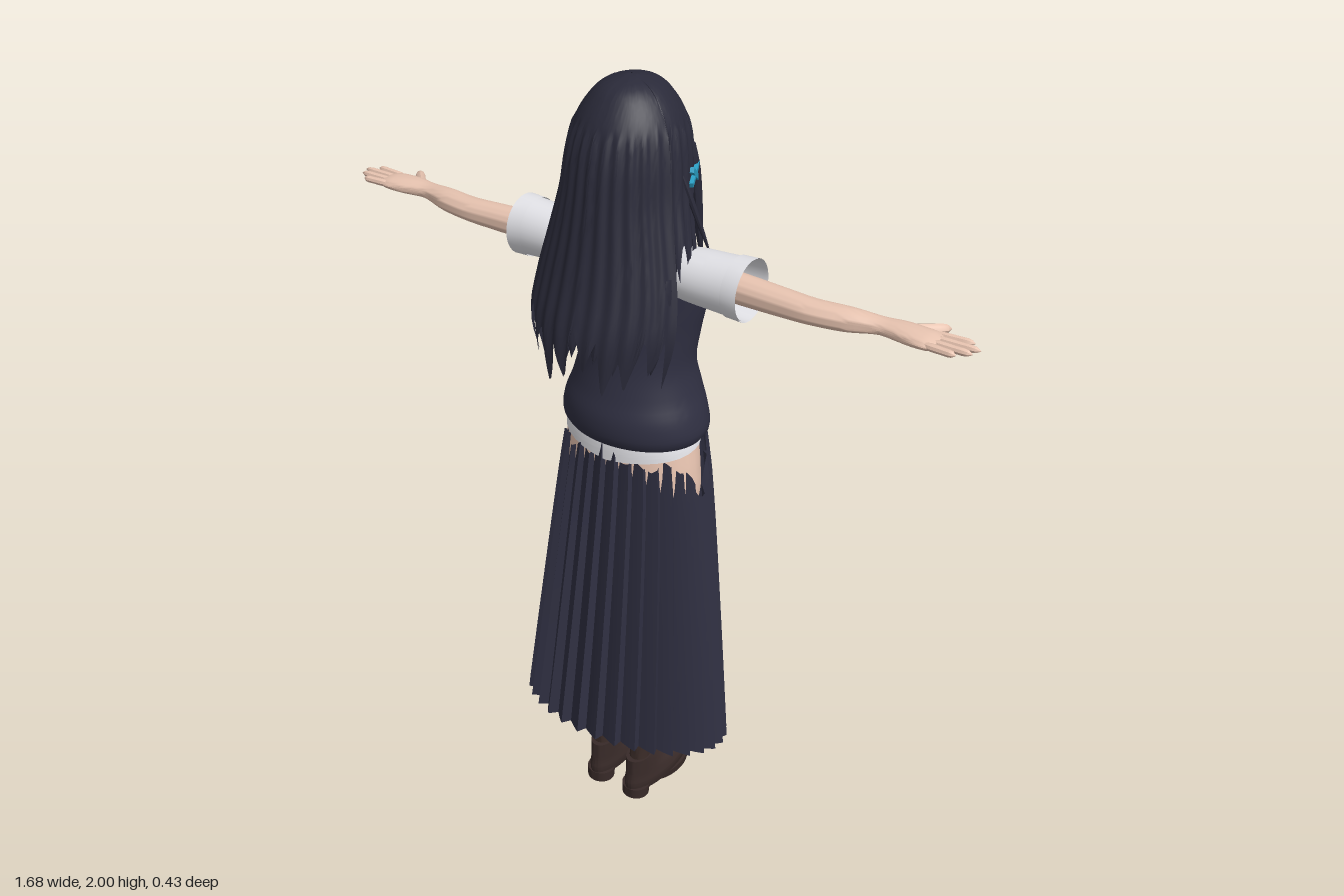
import * as THREE from 'three';
import { toCreasedNormals } from 'three/addons/utils/BufferGeometryUtils.js';

const mat = (name, color) => new THREE.MeshStandardMaterial({ name, color, side: THREE.DoubleSide });

// Smooth profile: rows are [y, halfWidth, frontZ, backZ], ascending in y
function profile(rows, y) {
  const last = rows.length - 1;
  let i = 0;
  while (i < last - 1 && y > rows[i + 1][0]) i++;
  const a = rows[i], b = rows[i + 1], h = b[0] - a[0];
  const t = THREE.MathUtils.clamp((y - a[0]) / h, 0, 1);
  const p = rows[Math.max(i - 1, 0)], n = rows[Math.min(i + 2, last)];
  return [1, 2, 3].map(k => {
    const m0 = (b[k] - p[k]) / (b[0] - p[0]) * h, m1 = (n[k] - a[k]) / (n[0] - a[0]) * h;
    const t2 = t * t, t3 = t2 * t;
    return (2 * t3 - 3 * t2 + 1) * a[k] + (t3 - 2 * t2 + t) * m0 + (3 * t2 - 2 * t3) * b[k] + (t3 - t2) * m1;
  });
}

// Wrapped surface; angle 0 is the back, +-PI the front. Edges may vary with angle.
function wrap(rows, { top, bottom, cols = 32, n = 24, off = 0, pow = 1, ripple, caps = false, crease = 0.8 } = {}) {
  const pos = [], idx = [], first = caps ? -1 : 0, end = caps ? n + 1 : n;
  for (let i = first; i <= end; i++) {
    const t = THREE.MathUtils.clamp(i / n, 0, 1), k = i < 0 || i > n ? 0 : 1;
    for (let j = 0; j <= cols; j++) {
      const phi = -Math.PI + 2 * Math.PI * j / cols;
      const y0 = top ? top(phi) : rows[rows.length - 1][0], y1 = bottom ? bottom(phi) : rows[0][0];
      const y = y0 + (y1 - y0) * t ** pow;
      const [rx, zf, zb] = profile(rows, y), d = (off + (ripple ? ripple(j, y) : 0));
      pos.push(k * (rx + d) * Math.sin(phi), y, (zf + zb) / 2 + k * ((zb - zf) / 2 + d) * Math.cos(phi));
    }
  }
  const w = cols + 1;
  for (let i = 0; i < end - first; i++) for (let j = 0; j < cols; j++) {
    const a = i * w + j, b = a + w;
    idx.push(a, b, a + 1, b, b + 1, a + 1);
  }
  const g = new THREE.BufferGeometry();
  g.setAttribute('position', new THREE.Float32BufferAttribute(pos, 3));
  g.setIndex(idx);
  g.computeVertexNormals();
  return toCreasedNormals(g, crease);
}

// Tapered round piece from p to q; shape gives the relative radius along it
function taper(p, q, r, shape = [0.8, 1, 0.95, 0.85, 0.1]) {
  const a = new THREE.Vector3(...p), d = new THREE.Vector3(...q).sub(a), L = d.length();
  const rows = shape.map((s, i) => [L * [0, 0.2, 0.6, 0.88, 1][i], s * r, -s * r, s * r]);
  const g = wrap(rows, { cols: 8, n: 10, caps: true });
  g.applyQuaternion(new THREE.Quaternion().setFromUnitVectors(new THREE.Vector3(0, 1, 0), d.normalize()));
  return g.translate(a.x, a.y, a.z);
}

const tri = u => Math.abs(2 * (u - Math.floor(u)) - 1);

export function createModel() {
  const M = {
    hair: mat('hair', 0x2a2a39), cloth: mat('navy cloth', 0x2f2f41), skin: mat('skin', 0xf0cbb7),
    white: mat('white cloth', 0xeeeef3), blue: mat('ribbon blue', 0x2a9fc4), stocking: mat('stocking', 0x3b2c28),
    shoe: mat('shoe leather', 0x382a28), iris: mat('iris', 0x34447c), lip: mat('lip', 0xc9827a),
  };
  const model = new THREE.Group();
  const add = (name, g, m, parent = model) => {
    const mesh = new THREE.Mesh(g, m);
    mesh.name = name;
    parent.add(mesh);
    return mesh;
  };

  // Head and neck
  const headRows = [[1.662, 0.015, -0.117, -0.06], [1.69, 0.055, -0.13, 0.01], [1.73, 0.086, -0.138, 0.06],
    [1.78, 0.1, -0.143, 0.09], [1.84, 0.105, -0.136, 0.1], [1.9, 0.09, -0.1, 0.08], [1.95, 0.05, -0.06, 0.04]];
  add('head', wrap(headRows, { caps: true }), M.skin);
  add('nose', taper([0, 1.775, -0.135], [0, 1.752, -0.154], 0.009), M.skin);
  add('neck', wrap([[1.58, 0.05, -0.08, 0.03], [1.64, 0.036, -0.065, 0.015], [1.72, 0.038, -0.065, 0.02]]), M.skin);

  // Painted face details laid on the head surface
  const facePatch = (name, cx, cy, rx, ry, lift, m) => {
    const g = new THREE.CircleGeometry(1, 20).scale(rx, ry, 1).translate(cx, cy, 0), p = g.attributes.position;
    for (let i = 0; i < p.count; i++) {
      const [w, zf, zb] = profile(headRows, p.getY(i)), u = Math.min(1, Math.abs(p.getX(i)) / w);
      p.setZ(i, (zf + zb) / 2 - (zb - zf) / 2 * Math.sqrt(1 - u * u) - lift);
    }
    g.computeVertexNormals();
    add(name, g, m);
  };
  for (const s of [-1, 1]) {
    facePatch('eyeWhite', s * 0.046, 1.772, 0.025, 0.018, 0.002, M.white);
    facePatch('iris', s * 0.045, 1.773, 0.015, 0.018, 0.004, M.iris);
    facePatch('pupil', s * 0.045, 1.775, 0.007, 0.01, 0.005, M.hair);
    facePatch('eyelash', s * 0.047, 1.791, 0.028, 0.005, 0.006, M.hair);
  }
  facePatch('mouth', 0, 1.704, 0.012, 0.003, 0.002, M.lip);

  // Long hair with fringe and ragged ends
  const hairRows = [[1.32, 0.165, -0.1, 0.21], [1.45, 0.2, -0.11, 0.205], [1.55, 0.193, -0.12, 0.178],
    [1.65, 0.17, -0.13, 0.156], [1.75, 0.147, -0.148, 0.14], [1.84, 0.136, -0.158, 0.126], [1.9, 0.122, -0.15, 0.107],
    [1.95, 0.094, -0.125, 0.076], [1.985, 0.055, -0.088, 0.038], [2, 0.002, -0.026, -0.022]];
  const hairEnd = phi => {
    const p = Math.abs(phi);
    if (p < 1.3) return 1.35 + 0.03 * Math.sin(7 * phi + 1) + 0.11 * tri(phi * 3.5);
    if (p < 2.05) return 1.58 + 0.09 * tri(phi * 4);
    if (p < 2.25) return 1.72 + 0.04 * tri(phi * 5);
    return 1.812 + 0.03 * tri(phi * 3.2);
  };
  add('hair', wrap(hairRows, { bottom: hairEnd, cols: 200, n: 28, pow: 1.8,
    ripple: (j, y) => y < 1.9 ? 0.003 * Math.sin(j * 0.9) : 0 }), M.hair);
  const lockShape = [0.5, 1, 0.8, 0.35, 0.02];
  for (const s of [-1, 1]) {
    add('sideLock', taper([s * 0.118, 1.85, -0.085], [s * 0.125, 1.55, -0.125], 0.014, lockShape), M.hair);
    add('looseStrand', taper([s * 0.135, 1.8, -0.02], [s * 0.185, 1.6, -0.07], 0.007, lockShape), M.hair);
    for (let i = 0; i < 4; i++)
      add('backLock', taper([s * (0.04 + i * 0.04), 1.6, 0.12 - i * 0.015],
        [s * (0.03 + i * 0.035), 1.39 - (i % 2) * 0.03, 0.17 - i * 0.025], 0.024, lockShape), M.hair);
  }

  // Crossed hair ribbon on the left side
  const hairRibbon = new THREE.Group();
  hairRibbon.name = 'hairRibbon';
  hairRibbon.position.set(0.138, 1.79, -0.065);
  hairRibbon.rotation.y = 0.38;
  for (const a of [0.35, -0.6])
    add('ribbonBand', new THREE.BoxGeometry(0.009, 0.012, 0.075).rotateX(a), M.blue, hairRibbon);
  model.add(hairRibbon);

  // Knitted vest with a V neck over a white shirt
  const vestRows = [[1.13, 0.178, -0.178, 0.09], [1.15, 0.19, -0.191, 0.1], [1.2, 0.181, -0.19, 0.1],
    [1.25, 0.163, -0.184, 0.085], [1.32, 0.147, -0.17, 0.068], [1.4, 0.154, -0.178, 0.058], [1.47, 0.166, -0.183, 0.054],
    [1.53, 0.171, -0.165, 0.052], [1.59, 0.168, -0.135, 0.05], [1.625, 0.135, -0.108, 0.045], [1.65, 0.06, -0.08, 0.03]];
  const vNeck = phi => 1.645 - 0.115 * Math.max(0, (Math.abs(phi) - 2.5) / 0.64);
  add('vest', wrap(vestRows, { top: vNeck, cols: 64, n: 36 }), M.cloth);
  add('shirt', wrap(vestRows, { off: -0.007, bottom: () => 1.3, cols: 48 }), M.white);
  add('collar', wrap([[1.615, 0.09, -0.115, 0.045], [1.645, 0.066, -0.088, 0.038], [1.675, 0.046, -0.072, 0.03]],
    { bottom: phi => 1.615 + 0.02 * tri(phi / Math.PI / 2 + 0.5) }), M.white);

  // Neck bow
  const bow = new THREE.Group();
  bow.name = 'neckBow';
  bow.position.set(0, 1.59, -0.145);
  bow.rotation.x = 0.45;
  const plate = (pts, depth) => new THREE.ExtrudeGeometry(new THREE.Shape(pts.map(p => new THREE.Vector2(...p))),
    { depth, bevelEnabled: false }).translate(0, 0, -depth / 2);
  for (const turn of [0, Math.PI]) {
    const side = new THREE.Group();
    side.rotation.y = turn;
    add('bowLoop', plate([[0, -0.014], [0.055, -0.032], [0.066, 0.005], [0.06, 0.04], [0, 0.014]], 0.018), M.blue, side);
    add('bowTail', plate([[0, 0], [0.012, -0.06], [0.04, -0.052], [0.018, 0]], 0.01), M.blue, side);
    bow.add(side);
  }
  add('bowKnot', new THREE.BoxGeometry(0.024, 0.03, 0.028), M.blue, bow);
  model.add(bow);

  // Hips and shirt hem seen above the skirt's ragged back edge
  add('hips', wrap([[0.85, 0.15, -0.12, 0.07], [0.98, 0.186, -0.14, 0.082], [1.05, 0.183, -0.145, 0.083],
    [1.12, 0.172, -0.15, 0.08]], { caps: true }), M.skin);
  add('shirtHem', wrap([[1.085, 0.181, -0.15, 0.088], [1.12, 0.177, -0.155, 0.087], [1.18, 0.16, -0.155, 0.08]],
    { bottom: phi => 1.085 + 0.03 * Math.min(1, Math.abs(phi) / 1.6) }), M.white);

  // Pleated long skirt with a slanted hem
  const skirtRows = [[0.18, 0.284, -0.208, 0.21], [0.6, 0.242, -0.198, 0.15], [1, 0.198, -0.188, 0.096], [1.16, 0.172, -0.178, 0.078]];
  const skirtTop = phi => {
    const p = Math.abs(phi);
    if (p > 1.85) return 1.15;
    return 1.085 - 0.09 * Math.exp(-(((p - 1.45) / 0.2) ** 2)) + 0.055 * Math.exp(-((phi / 0.2) ** 2))
      + 0.03 * (tri(phi * 2.3) - 0.5);
  };
  add('skirt', wrap(skirtRows, { top: skirtTop, bottom: phi => 0.247 + 0.055 * Math.cos(phi), cols: 160, n: 14, crease: 0.3,
    ripple: (j, y) => ((j % 5) / 4 - 0.5) * (0.01 + 0.016 * (1.15 - y)) }), M.cloth);

  // Arms, sleeves, legs and shoes, mirrored
  const along = g => g.rotateZ(-Math.PI / 2).translate(0, 1.57, 0);
  for (const s of [1, -1]) {
    const half = new THREE.Group();
    half.name = s > 0 ? 'leftLimbs' : 'rightLimbs';
    half.scale.x = s;
    add('sleeve', along(wrap([[0.12, 0.055, -0.085, 0.03], [0.17, 0.062, -0.097, 0.034], [0.25, 0.067, -0.1, 0.034],
      [0.31, 0.071, -0.103, 0.034]], {})), M.white, half);
    add('sleeveCuff', along(wrap([[0.272, 0.071, -0.104, 0.037], [0.311, 0.073, -0.106, 0.038]], { n: 2 })), M.white, half);
    add('arm', along(wrap([[0.18, 0.037, -0.07, 0.004], [0.31, 0.034, -0.065, 0.008], [0.4, 0.031, -0.06, 0.01],
      [0.47, 0.028, -0.059, 0.01], [0.55, 0.026, -0.07, -0.003], [0.62, 0.018, -0.078, -0.024], [0.66, 0.019, -0.086, -0.02],
      [0.7, 0.018, -0.089, -0.012], [0.74, 0.014, -0.087, -0.011], [0.752, 0.009, -0.08, -0.018]], { caps: true, n: 36 })), M.skin, half);
    [0.815, 0.838, 0.83, 0.803].forEach((x, i) =>
      add('finger', taper([0.73, 1.572, -0.078 + i * 0.019], [x, 1.572, -0.085 + i * 0.023], 0.009), M.skin, half));
    add('thumb', taper([0.66, 1.566, -0.065], [0.735, 1.556, -0.147], 0.013), M.skin, half);

    const leg = new THREE.Group();
    leg.name = 'leg';
    leg.position.x = 0.06;
    add('stocking', wrap([[0.06, 0.028, -0.01, 0.055], [0.15, 0.026, -0.012, 0.048], [0.3, 0.037, -0.025, 0.06],
      [0.5, 0.04, -0.045, 0.04], [0.9, 0.06, -0.1, 0.04]], {}), M.stocking, leg);
    const shoe = new THREE.Group();
    shoe.name = 'shoe';
    shoe.rotation.y = -0.06;
    add('shoeUpper', wrap([[0.02, 0.044, -0.182, 0.068], [0.045, 0.047, -0.183, 0.07], [0.065, 0.042, -0.15, 0.067],
      [0.085, 0.036, -0.08, 0.065], [0.125, 0.031, -0.025, 0.062]], { caps: true }), M.shoe, shoe);
    add('sole', wrap([[0, 0.045, -0.183, -0.02], [0.024, 0.048, -0.187, 0.0]], { n: 2, caps: true }), M.shoe, shoe);
    add('heel', wrap([[0, 0.037, 0.0, 0.07], [0.03, 0.038, -0.005, 0.07]], { n: 2, caps: true }), M.shoe, shoe);
    add('shoeStrap', new THREE.BoxGeometry(0.066, 0.014, 0.03).rotateX(-0.45).translate(0, 0.079, -0.085), M.shoe, shoe);
    leg.add(shoe);
    half.add(leg);
    model.add(half);
  }
  return model;
}
